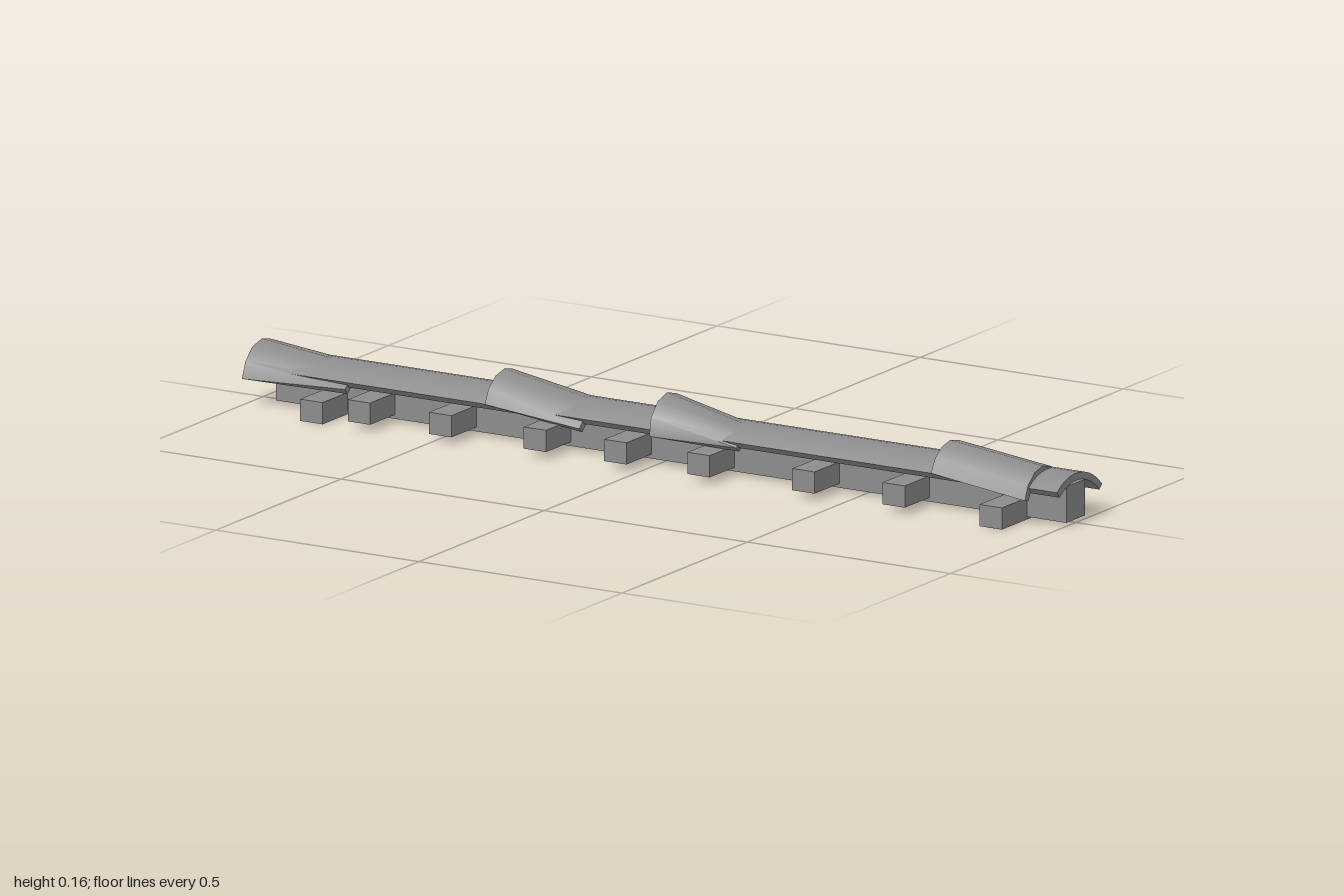
import * as THREE from 'three';
import { toCreasedNormals } from 'three/addons/utils/BufferGeometryUtils.js';

const grey = new THREE.MeshStandardMaterial({ color: 0x8c8c8c });
grey.name = 'weathered grey';

// Curved shell lofted between two arched sections: { x, z, top, w (half width), h (rise), tilt }
function archShell(start, end, segments, thickness) {
  const ring = ({ x, z, top, w, h, tilt = 0 }) => {
    const half = 2 * Math.atan(h / w);
    const radius = w / Math.sin(half);
    const point = (i, r) => {
      const a = -half + (2 * half * i) / segments;
      const dz = r * Math.sin(a);
      return new THREE.Vector3(x, top - radius + r * Math.cos(a) + tilt * dz, z + dz);
    };
    const points = [];
    for (let i = 0; i <= segments; i++) points.push(point(i, radius));
    for (let i = segments; i >= 0; i--) points.push(point(i, radius - thickness));
    return points;
  };
  const a = ring(start), b = ring(end), n = a.length, tris = [];
  const quad = (p, q, r, s) => tris.push(p, q, r, p, r, s);
  for (let i = 0; i < n; i++) {
    const j = (i + 1) % n;
    quad(a[i], a[j], b[j], b[i]);
  }
  // End faces
  for (let i = 0; i < segments; i++) {
    const k = n - 1 - i;
    quad(b[i], b[i + 1], b[k - 1], b[k]);
    quad(a[k], a[k - 1], a[i + 1], a[i]);
  }
  return toCreasedNormals(new THREE.BufferGeometry().setFromPoints(tris), 0.6);
}

export function createModel() {
  const model = new THREE.Group();
  model.name = 'roofRidge';
  const add = (name, geometry, x = 0, y = 0, z = 0) => {
    const mesh = new THREE.Mesh(geometry, grey);
    mesh.name = name;
    mesh.position.set(x, y, z);
    model.add(mesh);
  };

  // Long beam under the ridge
  add('ridgeBeam', new THREE.BoxGeometry(1.945, 0.078, 0.075), 0.0245, 0.048, -0.005);

  // Short cross beams, the outermost two set lower
  const crossX = [-0.8, -0.683, -0.483, -0.25, -0.052, 0.153, 0.411, 0.633, 0.872];
  crossX.forEach((x, i) => {
    const low = i === 0 || i === crossX.length - 1;
    add('crossBeam', new THREE.BoxGeometry(0.055, 0.047, 0.264), x, low ? 0.0265 : 0.0415, 0);
  });

  // Continuous arched cover, tilted slightly to the back
  const cover = { z: -0.015, top: 0.109, w: 0.09, h: 0.035, tilt: 0.11 };
  add('ridgeCover', archShell({ ...cover, x: -0.948 }, { ...cover, x: 1 }, 10, 0.016));

  // Loose cap tiles, each sinking towards +x
  const caps = [
    [{ x: -1, z: 0.005, top: 0.13, w: 0.08, h: 0.07 }, { x: -0.75, z: 0, top: 0.1, w: 0.08, h: 0.03 }],
    [{ x: -0.405, z: 0.003, top: 0.145, w: 0.078, h: 0.06 }, { x: -0.17, z: 0.002, top: 0.105, w: 0.083, h: 0.04 }],
    [{ x: 0.015, z: 0.033, top: 0.158, w: 0.072, h: 0.08 }, { x: 0.21, z: 0.008, top: 0.103, w: 0.066, h: 0.03 }],
    [{ x: 0.692, z: 0.002, top: 0.14, w: 0.077, h: 0.055 }, { x: 0.93, z: 0.018, top: 0.12, w: 0.072, h: 0.06 }],
  ];
  caps.forEach(([start, end]) => add('capTile', archShell(start, end, 6, 0.016)));

  return model;
}
